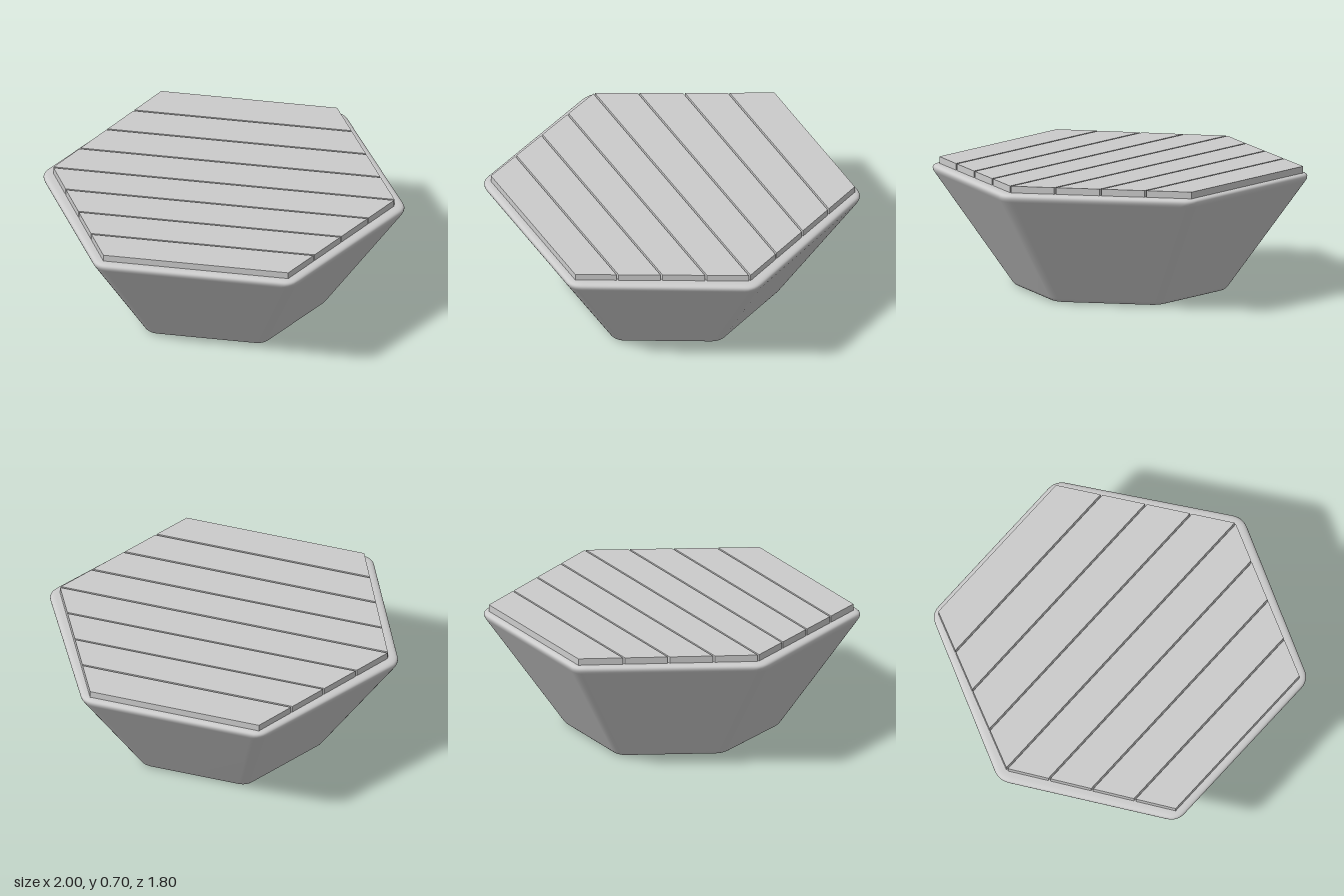
import * as THREE from 'three';

const material = new THREE.MeshStandardMaterial({ color: 0xcccccc });

// Hexagon corners [x, z], before rounding
const BASE = [[0.565, 0.01], [0.305, 0.505], [-0.325, 0.505], [-0.565, 0.01], [-0.305, -0.5], [0.285, -0.5]];
const RIM = [[1.035, 0.01], [0.55, 0.92], [-0.56, 0.92], [-1.035, 0.01], [-0.54, -0.92], [0.51, -0.92]];
const RIM_Y = 0.665;
const CORNER_STEPS = 6;

const mix = (a, b, t) => a + (b - a) * t;
const bend = (a, b, c, u) => (1 - u) * (1 - u) * a + 2 * u * (1 - u) * b + u * u * c;

// Rounded hexagon at height y, moved inward by inset
function ring(y, inset) {
  const t = y / RIM_Y;
  const corners = BASE.map((b, i) => {
    const p = new THREE.Vector2(mix(b[0], RIM[i][0], t), mix(b[1], RIM[i][1], t));
    return p.setLength(Math.max(p.length() - inset * 1.15, 0.001));
  });
  const cut = Math.min(mix(0.045, 0.06, t), corners[0].length() * 0.3);
  const points = [];
  corners.forEach((c, i) => {
    const toward = (n) => n.clone().sub(c).setLength(cut).add(c);
    const a = toward(corners[(i + 5) % 6]);
    const b = toward(corners[(i + 1) % 6]);
    for (let k = 0; k <= CORNER_STEPS; k++) {
      const u = k / CORNER_STEPS;
      points.push([bend(a.x, c.x, b.x, u), y, bend(a.y, c.y, b.y, u)]);
    }
  });
  return points;
}

// Tapered body: rounded rings from the underside to the top
function bodyGeometry() {
  const rings = [ring(0, 0.2)];
  for (let k = 0; k <= 5; k++) rings.push(ring(bend(0, 0, 0.025, k / 5), bend(0.025, 0, 0, k / 5)));
  for (let k = 0; k <= 8; k++) rings.push(ring(bend(0.62, RIM_Y, RIM_Y, k / 8), bend(0, 0, 0.055, k / 8)));
  rings.push(ring(RIM_Y, 0.2));

  const n = rings[0].length;
  const positions = rings.flat(2);
  const index = [];
  for (let r = 0; r < rings.length - 1; r++) {
    for (let i = 0; i < n; i++) {
      const a = r * n + i, b = r * n + ((i + 1) % n), c = a + n, d = b + n;
      index.push(a, c, b, b, c, d);
    }
  }
  // Flat caps close both ends
  const last = (rings.length - 1) * n;
  const bottom = positions.length / 3;
  positions.push(0, 0, 0, 0, RIM_Y, 0);
  for (let i = 0; i < n; i++) {
    const j = (i + 1) % n;
    index.push(bottom, i, j, bottom + 1, last + j, last + i);
  }
  const geometry = new THREE.BufferGeometry();
  geometry.setAttribute('position', new THREE.Float32BufferAttribute(positions, 3));
  geometry.setIndex(index);
  geometry.computeVertexNormals();
  return geometry;
}

// Left and right ends of the plank top at depth z
function plankEnds(z) {
  const apex = 0.012;
  const front = z > apex;
  const t = front ? (z - apex) / (0.86 - apex) : (apex - z) / (0.87 + apex);
  return front
    ? [mix(-0.948, -0.516, t), mix(0.948, 0.51, t)]
    : [mix(-0.948, -0.508, t), mix(0.948, 0.468, t)];
}

// One board between two depths, with slanted ends
function plankGeometry(z0, z1) {
  const [l0, r0] = plankEnds(z0);
  const [l1, r1] = plankEnds(z1);
  const shape = new THREE.Shape([
    new THREE.Vector2(l0, -z0), new THREE.Vector2(l1, -z1),
    new THREE.Vector2(r1, -z1), new THREE.Vector2(r0, -z0),
  ]);
  return new THREE.ExtrudeGeometry(shape, { depth: 0.04, bevelEnabled: false })
    .rotateX(-Math.PI / 2)
    .translate(0, 0.662, 0);
}

export function createModel() {
  const model = new THREE.Group();
  model.name = 'plankTopTable';

  const body = new THREE.Mesh(bodyGeometry(), material);
  body.name = 'taperedBody';
  model.add(body);

  // Eight boards separated by narrow gaps
  const planks = new THREE.Group();
  planks.name = 'plankTop';
  const seams = [-0.875, -0.646, -0.427, -0.206, 0.013, 0.226, 0.441, 0.655, 0.865];
  for (let i = 0; i < seams.length - 1; i++) {
    const plank = new THREE.Mesh(plankGeometry(seams[i] + 0.005, seams[i + 1] - 0.005), material);
    plank.name = 'plank' + (i + 1);
    planks.add(plank);
  }
  model.add(planks);
  return model;
}
